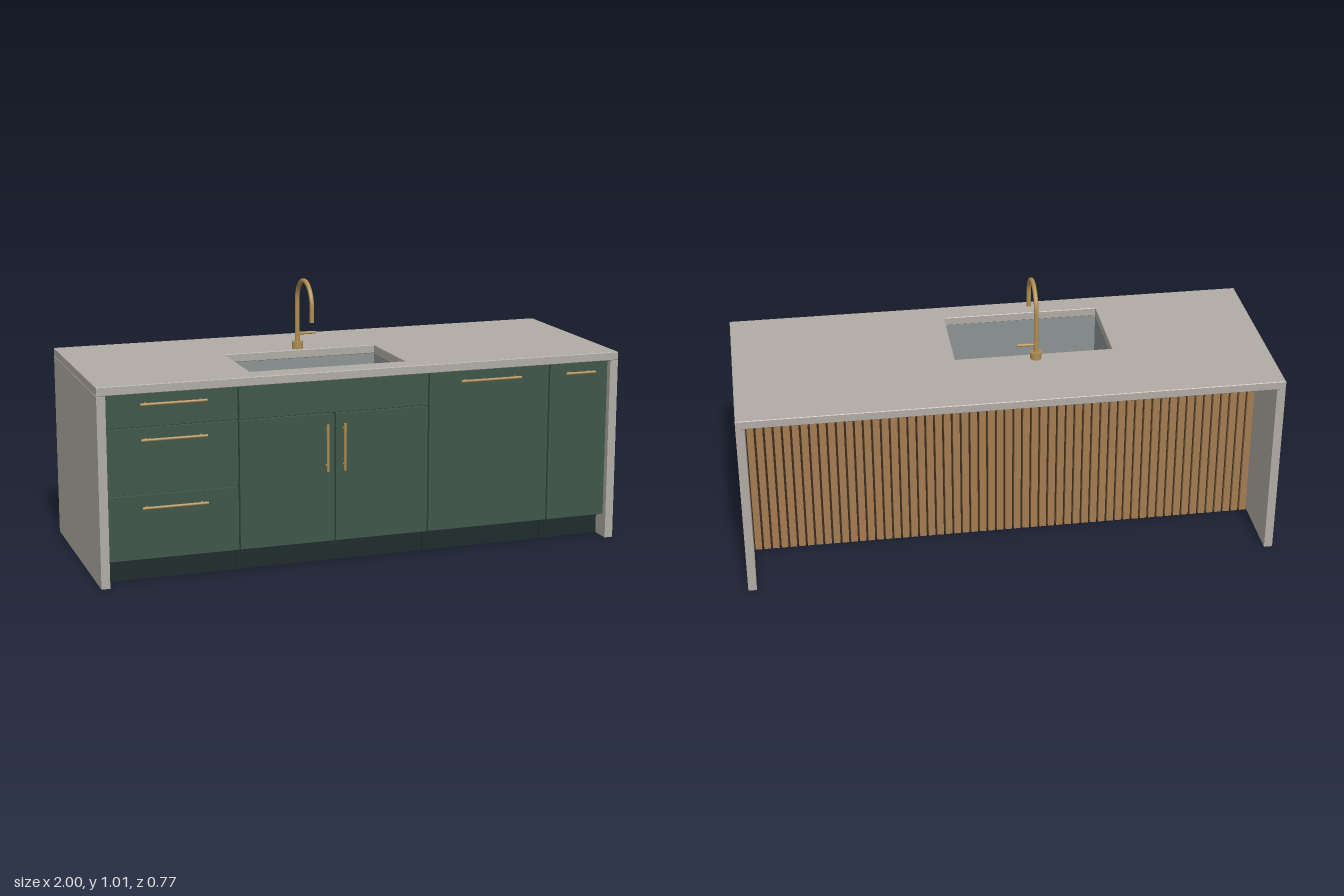
import * as THREE from 'three';

const mat = (name, color) => {
  const m = new THREE.MeshStandardMaterial({ color });
  m.name = name;
  return m;
};

export function createModel() {
  const stone = mat('stone', 0xb0aba4);
  const green = mat('greenFront', 0x3e5548);
  const dark = mat('darkPlinth', 0x1d2a2b);
  const shadowGap = mat('darkCarcass', 0x1c2a22);
  const wood = mat('oakSlat', 0xa47b50);
  const backing = mat('slatBacking', 0x3a2a1c);
  const steel = mat('sinkSteel', 0x8c9393);
  const drainSteel = mat('drainSteel', 0x787d80);
  const brass = mat('brass', 0xb08d52);

  const model = new THREE.Group();
  model.name = 'kitchenIsland';

  const add = (name, geo, material, x = 0, y = 0, z = 0, parent = model) => {
    const mesh = new THREE.Mesh(geo, material);
    mesh.name = name;
    mesh.position.set(x, y, z);
    parent.add(mesh);
    return mesh;
  };
  // Box given by its limits on each axis
  const box = (name, material, x0, x1, y0, y1, z0, z1, parent = model) =>
    add(name, new THREE.BoxGeometry(x1 - x0, y1 - y0, z1 - z0), material,
      (x0 + x1) / 2, (y0 + y1) / 2, (z0 + z1) / 2, parent);
  const group = (name) => {
    const g = new THREE.Group();
    g.name = name;
    model.add(g);
    return g;
  };

  const Z0 = -0.386, Z1 = 0.382, TOP = 0.727, UNDER = 0.695, INNER = 0.968;
  const sink = { x0: -0.42, x1: 0.176, z0: -0.046, z1: 0.29 };

  // Worktop with the sink opening
  const slab = new THREE.Shape([[-1, Z0], [1, Z0], [1, Z1], [-1, Z1]].map(p => new THREE.Vector2(...p)));
  slab.holes.push(new THREE.Path([[sink.x0, sink.z0], [sink.x0, sink.z1], [sink.x1, sink.z1], [sink.x1, sink.z0]]
    .map(p => new THREE.Vector2(...p))));
  const b = 0.002;
  const slabGeo = new THREE.ExtrudeGeometry(slab, {
    depth: TOP - UNDER - 2 * b, bevelEnabled: true, bevelSize: b, bevelThickness: b, bevelOffset: -b, bevelSegments: 1,
  });
  slabGeo.rotateX(Math.PI / 2);
  add('worktop', slabGeo, stone, 0, TOP - b, 0);

  // Waterfall end panels
  for (const s of [-1, 1]) {
    const mid = s * (1 + INNER) / 2, half = (1 - INNER) / 2;
    box('endPanel', stone, mid - half, mid + half, 0, UNDER, Z0, Z1);
  }

  // Hollow carcass behind the fronts
  const FRONT = 0.364, BACK = 0.344, BASE = 0.088;
  box('carcassFront', shadowGap, -INNER, INNER, BASE, UNDER, BACK - 0.015, BACK);
  box('carcassFloor', dark, -INNER, INNER, BASE - 0.004, BASE + 0.01, -0.1, BACK);

  // Cabinet edges along x; plinth in matching sections
  const edges = [-0.968, -0.486, 0.24, 0.725, 0.968];
  for (let i = 0; i < 4; i++)
    box('plinth', dark, edges[i] + 0.001, edges[i + 1] - 0.001, 0, BASE - 0.004, -0.1, 0.305);

  // Drawer and door fronts: x0, x1, y0, y1
  const fronts = group('fronts');
  const gap = 0.003;
  [
    ['drawerFront', -0.968, -0.486, 0.57, UNDER],
    ['drawerFront', -0.968, -0.486, 0.327, 0.57],
    ['drawerFront', -0.968, -0.486, BASE, 0.327],
    ['sinkFascia', -0.486, 0.24, 0.57, UNDER],
    ['sinkDoor', -0.486, -0.124, BASE, 0.57],
    ['sinkDoor', -0.124, 0.24, BASE, 0.57],
    ['applianceDoor', 0.24, 0.725, BASE, UNDER],
    ['narrowDoor', 0.725, 0.968, BASE, UNDER],
  ].forEach(([name, x0, x1, y0, y1]) =>
    box(name, green, x0 + gap, x1 - gap, y0 + gap, y1 - gap, BACK, FRONT, fronts));

  // Bar handles on two short posts
  const handles = group('handles');
  const handle = (x, y, length, vertical) => {
    const h = new THREE.Group();
    h.name = 'handle';
    add('handleBar', new THREE.CylinderGeometry(0.005, 0.005, length, 12).rotateZ(Math.PI / 2), brass, 0, 0, 0, h);
    for (const s of [-1, 1])
      add('handlePost', new THREE.CylinderGeometry(0.004, 0.004, 0.02, 8).rotateX(Math.PI / 2), brass,
        s * (length / 2 - 0.02), 0, -0.01, h);
    h.position.set(x, y, 0.383);
    if (vertical) h.rotation.z = Math.PI / 2;
    handles.add(h);
  };
  for (const y of [0.656, 0.528, 0.282]) handle(-0.725, y, 0.24);
  handle(0.482, 0.656, 0.24);
  handle(0.846, 0.656, 0.12);
  for (const x of [-0.157, -0.091]) handle(x, 0.445, 0.175, true);

  // Slatted back under the overhang
  const slats = group('slattedBack');
  box('slatBacking', backing, -INNER, INNER, 0, UNDER, -0.108, -0.1, slats);
  const count = 58, pitch = 2 * INNER / count;
  const slatGeo = new THREE.BoxGeometry(pitch * 0.76, UNDER, 0.014);
  for (let i = 0; i < count; i++)
    add('slat', slatGeo, wood, -INNER + (i + 0.5) * pitch, UNDER / 2, -0.115, slats);

  // Undermount basin
  const basin = group('sinkBasin');
  const { x0, x1, z0, z1 } = sink, t = 0.008, floor = 0.49;
  box('basinFloor', steel, x0 - t, x1 + t, floor - t, floor, z0 - t, z1 + t, basin);
  box('basinWall', steel, x0 - t, x0, floor, UNDER, z0 - t, z1 + t, basin);
  box('basinWall', steel, x1, x1 + t, floor, UNDER, z0 - t, z1 + t, basin);
  box('basinWall', steel, x0, x1, floor, UNDER, z0 - t, z0, basin);
  box('basinWall', steel, x0, x1, floor, UNDER, z1, z1 + t, basin);
  add('drain', new THREE.CylinderGeometry(0.034, 0.034, 0.006, 32), drainSteel, -0.123, floor + 0.003, 0.04, basin);

  // Gooseneck tap
  const tap = group('tap');
  const tx = -0.124, tz = -0.077, r = 0.0885, arcY = 0.911;
  add('tapBase', new THREE.CylinderGeometry(0.021, 0.021, 0.028, 32), brass, tx, TOP + 0.014, tz, tap);
  add('tapStem', new THREE.CylinderGeometry(0.0095, 0.0095, 0.06, 20), brass, tx, 0.765, tz, tap);
  const neck = new THREE.CurvePath();
  const at = (y, z) => new THREE.Vector3(tx, y, z);
  neck.add(new THREE.LineCurve3(at(0.75, tz), at(arcY, tz)));
  const arc = [];
  for (let i = 0; i <= 16; i++) {
    const a = Math.PI * i / 16;
    arc.push(at(arcY + r * Math.sin(a), tz + r - r * Math.cos(a)));
  }
  neck.add(new THREE.CatmullRomCurve3(arc));
  neck.add(new THREE.LineCurve3(at(arcY, tz + 2 * r), at(0.856, tz + 2 * r)));
  add('tapSpout', new THREE.TubeGeometry(neck, 72, 0.0085, 16), brass, 0, 0, 0, tap);
  add('spoutEnd', new THREE.CircleGeometry(0.0085, 16).rotateX(Math.PI / 2), brass, tx, 0.856, tz + 2 * r, tap);
  add('tapLever', new THREE.CylinderGeometry(0.0055, 0.0055, 0.071, 12).rotateZ(Math.PI / 2), brass,
    tx + 0.0355, 0.785, tz, tap);

  return model;
}
